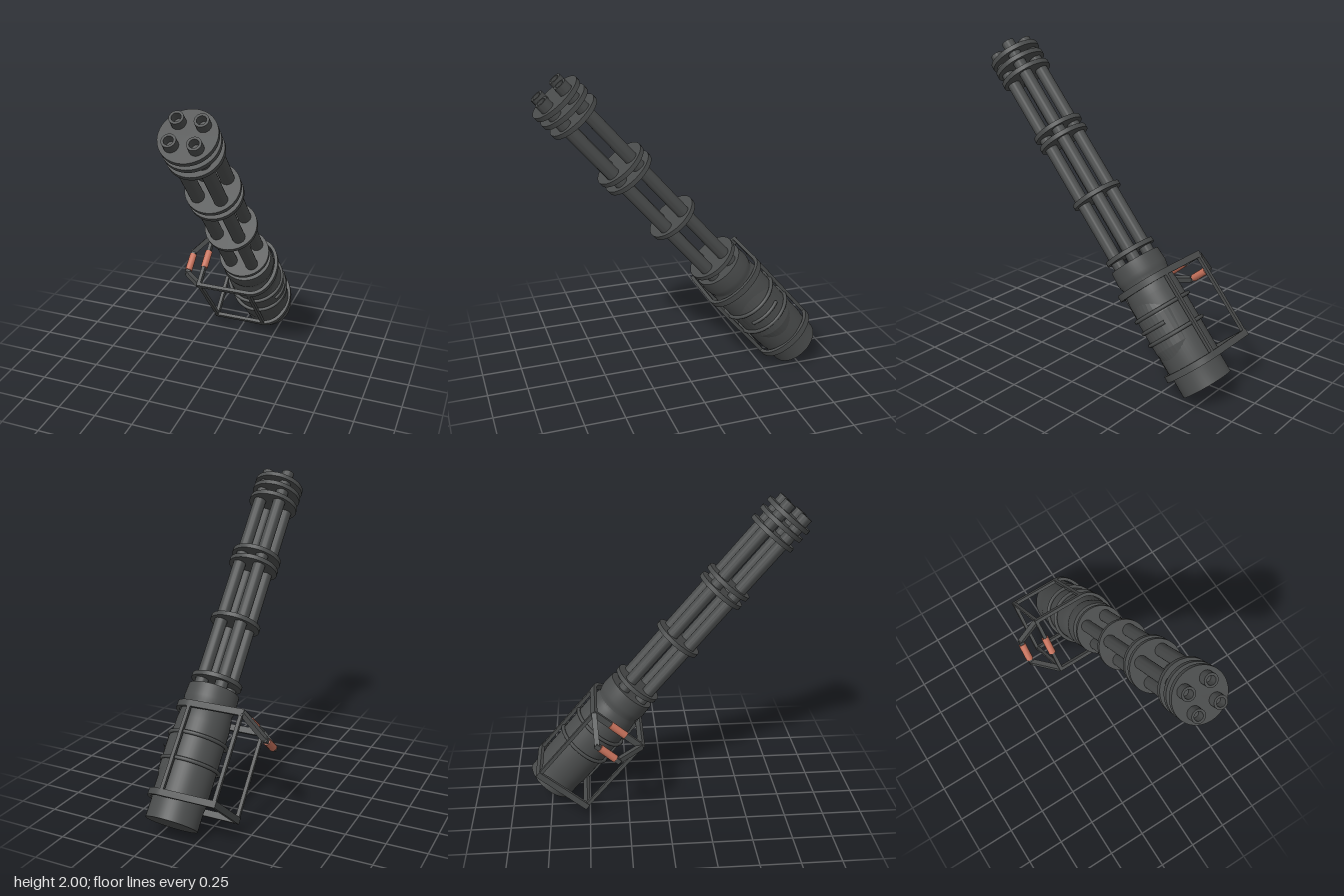
import * as THREE from 'three';
import { toCreasedNormals } from 'three/addons/utils/BufferGeometryUtils.js';

const metal = new THREE.MeshStandardMaterial({ color: 0x4a4c4c });
const gripMat = new THREE.MeshStandardMaterial({ color: 0xc4705a });
const V = (x, y, z) => new THREE.Vector3(x, y, z);

export function createModel() {
  const root = new THREE.Group();
  // everything is built upright along y, then leaned forward
  const gun = new THREE.Group();
  gun.name = 'rotaryGun';
  gun.position.set(0.145, 0.11, -0.756);
  gun.rotation.x = 0.705;
  root.add(gun);

  function add(name, geo, x = 0, y = 0, z = 0, mat = metal) {
    const m = new THREE.Mesh(geo, mat);
    m.name = name;
    m.position.set(x, y, z);
    gun.add(m);
    return m;
  }
  const lathe = (pts, seg) => toCreasedNormals(
    new THREE.LatheGeometry(pts.map(p => new THREE.Vector2(p[0], p[1])), seg), 0.6);

  // straight bar between two points
  function bar(name, a, b, geo, mat) {
    const m = add(name, geo, 0, 0, 0, mat);
    m.position.copy(a).add(b).multiplyScalar(0.5);
    m.quaternion.setFromUnitVectors(V(0, 1, 0), b.clone().sub(a).normalize());
    m.scale.y = a.distanceTo(b);
  }

  // housing with rounded front collar
  add('housing', lathe([[0, 0], [0.16, 0], [0.16, 0.12], [0.166, 0.16], [0.166, 0.62],
    [0.158, 0.69], [0.152, 0.71], [0.16, 0.735], [0.165, 0.765], [0.16, 0.845], [0, 0.845]], 48));

  // smooth fairing on the side of the housing
  const fairing = add('sideFairing', lathe([[0, 0.14], [0.09, 0.16], [0.13, 0.21], [0.15, 0.3],
    [0.152, 0.5], [0.135, 0.6], [0.09, 0.66], [0, 0.68]], 36), 0.03);
  fairing.geometry.computeVertexNormals();

  // raised hoops round the housing
  for (const y of [0.36, 0.52]) {
    const g = new THREE.TorusGeometry(0.178, 0.012, 8, 48);
    g.rotateX(Math.PI / 2);
    add('housingHoop', g, 0, y, 0);
  }
  const rib = new THREE.TorusGeometry(0.176, 0.012, 8, 20, 1.2);
  rib.rotateZ(-0.6);
  rib.rotateX(Math.PI / 2);
  add('sideRib', rib, 0.004, 0.44, 0);

  // cage frames: straight sides, round end hugging the housing
  function frameGeometry() {
    const outline = (P, d) => {
      P.moveTo(-0.325 + d, -0.2 + d);
      P.lineTo(0.03, -0.2 + d);
      P.absellipse(0.03, 0, 0.15 - d, 0.2 - d, -Math.PI / 2, Math.PI / 2, false);
      P.lineTo(-0.325 + d, 0.2 - d);
      P.closePath();
      return P;
    };
    const s = outline(new THREE.Shape(), 0);
    s.holes.push(outline(new THREE.Path(), 0.022));
    const g = new THREE.ExtrudeGeometry(s, { depth: 0.04, bevelEnabled: false, curveSegments: 24 });
    g.translate(0, 0, -0.02);
    g.rotateX(-Math.PI / 2);
    return toCreasedNormals(g, 0.6);
  }
  for (const y of [0.14, 0.69]) add('cageFrame', frameGeometry(), 0, y, 0);

  // long rails joining the frames, and the outer handle arms
  for (const s of [-1, 1]) {
    for (const x of [-0.31, 0.03])
      add('cageRail', new THREE.BoxGeometry(0.022, 0.55, 0.022), x, 0.415, s * 0.188);
    bar('handleArm', V(-0.315, 0.69, s * 0.188), V(-0.455, 0.585, s * 0.082),
      new THREE.BoxGeometry(0.032, 1, 0.032));
  }
  bar('handleBar', V(-0.455, 0.585, -0.095), V(-0.455, 0.585, 0.095), new THREE.BoxGeometry(0.03, 1, 0.03));

  // padded grips
  const grip = (name, x, y, r, half) => bar(name, V(x, y, -half), V(x, y, half),
    toCreasedNormals(new THREE.CylinderGeometry(r, r, 1, 12), 0.6), gripMat);
  grip('outerGrip', -0.455, 0.585, 0.024, 0.06);
  grip('innerGrip', -0.314, 0.69, 0.024, 0.06);

  // clamp discs along the barrels
  for (const y of [0.904, 1.305, 1.714, 1.784, 2.185, 2.262, 2.325])
    add('barrelDisc', new THREE.CylinderGeometry(0.16, 0.16, 0.028, 48), 0, y, 0);

  // four hollow barrels
  const barrel = lathe([[0.04, 0.83], [0.04, 2.392], [0.026, 2.392], [0.026, 2.3], [0, 2.3]], 24);
  for (const x of [-0.068, 0.068])
    for (const z of [-0.068, 0.068]) add('barrel', barrel, x, 0, z);

  return root;
}
